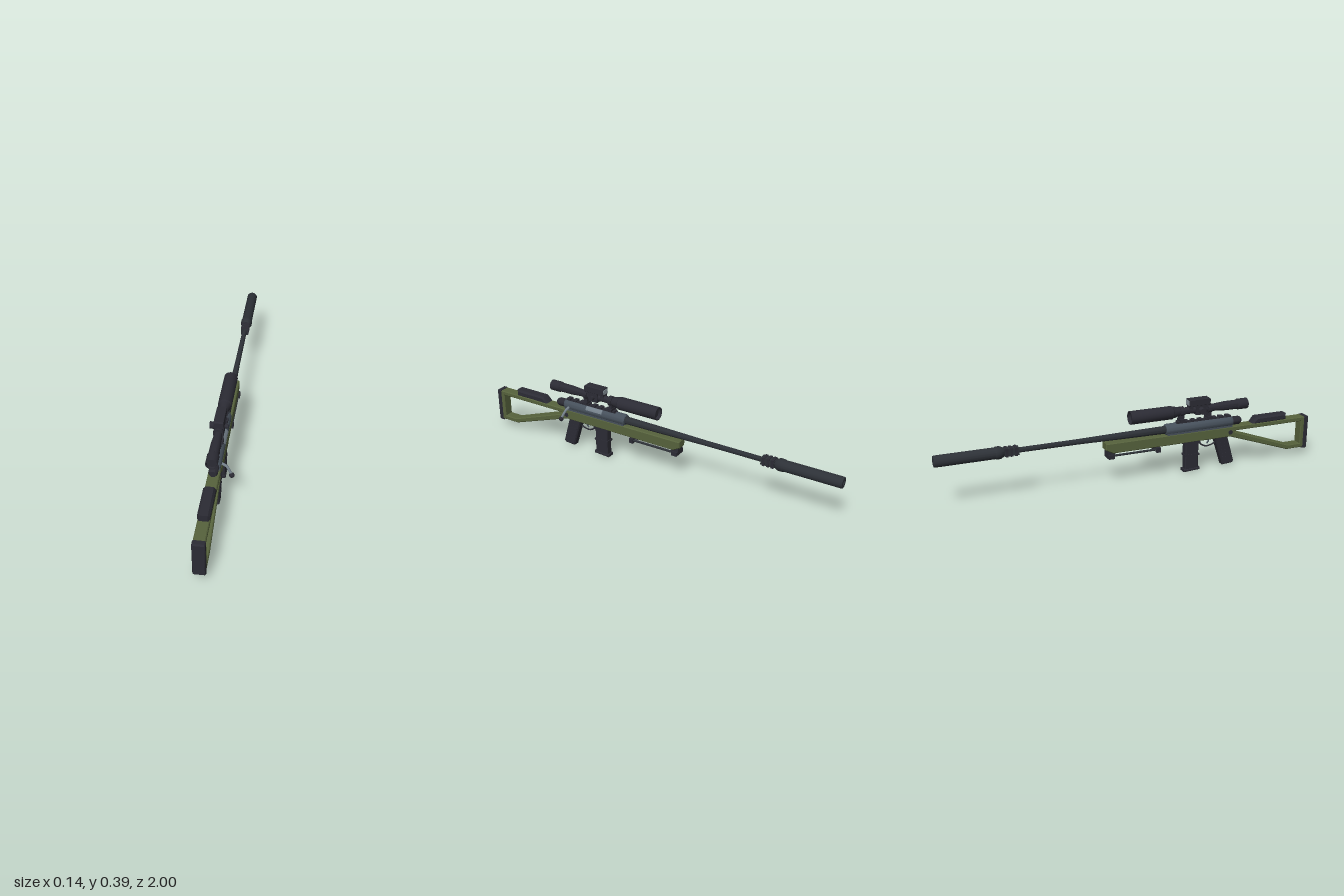
import * as THREE from 'three';
import { toCreasedNormals } from 'three/addons/utils/BufferGeometryUtils.js';

const CX = -0.022; // centre plane of the body
const BORE = 0.24, SIGHT = 0.327;

export function createModel() {
  const model = new THREE.Group();
  const paint = (name, color) => {
    const m = new THREE.MeshStandardMaterial({ color });
    m.name = name;
    return m;
  };
  const olive = paint('olive', 0x56623c);
  const black = paint('black', 0x2b2b34);
  const gunmetal = paint('gunmetal', 0x2d3137);
  const steel = paint('blued steel', 0x46505b);
  const bright = paint('bright steel', 0x74808a);
  const glass = paint('glass', 0x87939a);

  const add = (name, geo, mat, x = 0, y = 0, z = 0) => {
    const mesh = new THREE.Mesh(toCreasedNormals(geo, 0.6), mat);
    mesh.name = name;
    mesh.position.set(x, y, z);
    model.add(mesh);
    return mesh;
  };
  const box = (name, mat, w, y0, y1, z0, z1, x = CX) =>
    add(name, new THREE.BoxGeometry(w, y1 - y0, z1 - z0), mat, x, (y0 + y1) / 2, (z0 + z1) / 2);
  // Turned part along z: [radius, z] pairs with z rising
  const turned = (name, mat, y, pts, seg = 14, x = CX) =>
    add(name, new THREE.LatheGeometry(pts.map(p => new THREE.Vector2(...p)), seg).rotateX(Math.PI / 2), mat, x, y);
  const crossBar = (name, mat, r, x0, x1, y, z, seg = 14) =>
    add(name, new THREE.CylinderGeometry(r, r, x1 - x0, seg).rotateZ(Math.PI / 2), mat, (x0 + x1) / 2, y, z);
  // Side profile of [z, y] pairs, extruded across x with a small bevel
  const profile = (name, mat, w, pts, bevel = 0.004, hole = null, x = CX) => {
    const v = a => a.map(p => new THREE.Vector2(...p));
    const shape = new THREE.Shape(v(pts));
    if (hole) shape.holes.push(new THREE.Path(v(hole)));
    const geo = new THREE.ExtrudeGeometry(shape, {
      depth: w - 2 * bevel, bevelEnabled: bevel > 0, bevelSize: bevel,
      bevelThickness: bevel, bevelOffset: -bevel, bevelSegments: 1,
    });
    geo.translate(0, 0, bevel - w / 2).rotateY(-Math.PI / 2);
    return add(name, geo, mat, x);
  };
  const tube = (name, mat, r, pts, seg = 16) =>
    add(name, new THREE.TubeGeometry(new THREE.CatmullRomCurve3(pts.map(p => new THREE.Vector3(...p)), false, 'catmullrom', 0.2), seg, r, 8), mat);

  // Stock with an open frame at the rear
  profile('stock', olive, 0.054, [
    [0.98, 0.042], [0.98, 0.216], [-0.168, 0.216], [-0.168, 0.182], [-0.13, 0.162],
    [0.525, 0.162], [0.875, 0.042],
  ], 0.004, [[0.955, 0.066], [0.882, 0.066], [0.55, 0.184], [0.55, 0.192], [0.955, 0.192]]);
  profile('buttPad', black, 0.058, [[1, 0.042], [1, 0.212], [0.994, 0.218], [0.972, 0.218], [0.972, 0.036], [0.994, 0.036]]);
  profile('cheekRest', black, 0.056, [[0.86, 0.212], [0.86, 0.248], [0.68, 0.248], [0.652, 0.212]], 0.009);

  // Receiver, bolt and barrel
  turned('receiver', steel, BORE, [[0, 0.16], [0.026, 0.16], [0.03, 0.168], [0.03, 0.53], [0.026, 0.54], [0, 0.54]], 12);
  box('receiverBed', steel, 0.05, 0.21, 0.238, 0.165, 0.535);
  turned('boltShroud', black, BORE, [[0, 0.53], [0.022, 0.53], [0.022, 0.58], [0.016, 0.592], [0, 0.592]], 12);
  const port = add('ejectionPort', new THREE.CylinderGeometry(0.0315, 0.0315, 0.1, 4, 1, true, 0.6, 0.75).rotateX(Math.PI / 2), bright, CX, BORE, 0.345);
  port.rotation.z = 1.25;
  tube('boltHandle', bright, 0.0065, [[CX, 0.262, 0.505], [0.002, 0.236, 0.505], [0.03, 0.223, 0.51], [0.055, 0.184, 0.522]]);
  add('boltKnob', new THREE.SphereGeometry(0.013, 10, 8), black, 0.054, 0.183, 0.522);
  turned('barrel', gunmetal, BORE, [[0.0125, -0.61], [0.0135, -0.3], [0.018, -0.02], [0.02, 0.165]]);

  // Muzzle brake and suppressor
  box('muzzleBrake', gunmetal, 0.038, 0.222, 0.258, -0.67, -0.6);
  for (const z of [-0.615, -0.638, -0.66]) box('brakeRib', black, 0.043, 0.219, 0.261, z - 0.006, z + 0.006);
  turned('suppressor', gunmetal, BORE, [
    [0, -0.995], [0.012, -0.995], [0.012, -1], [0.026, -1], [0.028, -0.995], [0.028, -0.715],
    [0.031, -0.71], [0.031, -0.69], [0.022, -0.672], [0, -0.672],
  ], 16);

  // Accessory rail with teeth
  box('railBase', black, 0.026, 0.262, 0.27, 0.22, 0.53);
  for (let i = 0; i < 8; i++) box('railTooth', black, 0.032, 0.268, 0.277, 0.225 + i * 0.04, 0.248 + i * 0.04);

  // Scope
  turned('scopeBody', black, SIGHT, [
    [0, -0.015], [0.029, -0.015], [0.03, -0.032], [0.034, -0.032], [0.034, 0.195], [0.03, 0.2], [0.028, 0.215],
    [0.018, 0.25], [0.018, 0.42], [0.024, 0.5], [0.024, 0.565], [0.028, 0.57], [0.028, 0.625],
    [0.023, 0.625], [0.022, 0.615], [0, 0.615],
  ], 16);
  for (const z of [0.25, 0.405]) {
    turned('scopeRing', black, SIGHT, [[0.017, z - 0.011], [0.025, z - 0.011], [0.025, z + 0.011], [0.017, z + 0.011]]);
    box('scopeMount', black, 0.03, 0.272, 0.315, z - 0.01, z + 0.01);
    box('mountClamp', black, 0.046, 0.272, 0.288, z - 0.013, z + 0.013);
  }
  box('turretBlock', black, 0.044, 0.303, 0.352, 0.325, 0.38);
  crossBar('windageKnob', black, 0.017, -0.07, -0.04, SIGHT, 0.352);
  crossBar('focusKnob', black, 0.011, -0.005, 0.016, SIGHT, 0.352);

  // Small sight on top of the scope
  profile('topSight', black, 0.046, [[0.287, 0.352], [0.405, 0.352], [0.405, 0.38], [0.4, 0.386], [0.287, 0.386]], 0.002);
  box('topSightLens', glass, 0.036, 0.357, 0.381, 0.284, 0.288);
  for (const z of [0.3, 0.395]) box('topSightFoot', black, 0.034, 0.336, 0.354, z - 0.01, z + 0.01);

  // Grip with ribs
  profile('grip', black, 0.042, [[0.435, 0.17], [0.51, 0.17], [0.553, 0.022], [0.545, 0.012], [0.487, 0.008]], 0.006);
  for (let i = 0; i < 5; i++) {
    const y = 0.05 + i * 0.02, z = 0.527 - (y - 0.05) * 0.3;
    box('gripRib', black, 0.045, y - 0.004, y + 0.004, z - 0.045, z - 0.005);
  }

  // Trigger and guard
  tube('triggerGuard', black, 0.004, [[CX, 0.165, 0.352], [CX, 0.135, 0.365], [CX, 0.12, 0.395], [CX, 0.124, 0.425], [CX, 0.136, 0.452]]);
  tube('trigger', steel, 0.004, [[CX, 0.165, 0.405], [CX, 0.148, 0.41], [CX, 0.134, 0.4]], 8);

  // Magazine
  box('magazineWell', black, 0.05, 0.148, 0.168, 0.262, 0.352);
  profile('magazine', black, 0.04, [[0.27, 0.165], [0.344, 0.165], [0.344, 0.006], [0.27, 0.006]], 0.004);
  box('magazineBand', black, 0.044, 0.084, 0.094, 0.266, 0.348);
  profile('magazineBase', black, 0.046, [[0.262, 0], [0.352, 0.005], [0.352, 0.018], [0.262, 0.014]], 0.003);

  // Folded bipod
  box('bipodMount', black, 0.046, 0.145, 0.178, -0.158, -0.118);
  box('bipodHinge', black, 0.066, 0.135, 0.157, -0.156, -0.124);
  for (const side of [-1, 1]) {
    const x = CX + side * 0.023;
    turned('bipodLeg', gunmetal, 0.15, [[0, -0.14], [0.006, -0.14], [0.006, 0.12], [0, 0.12]], 8, x);
    box('bipodFoot', black, 0.018, 0.134, 0.159, 0.102, 0.126, x);
  }

  // Pivot pin near the grip
  crossBar('stockPin', black, 0.012, CX - 0.03, CX + 0.03, 0.186, 0.524);

  return model;
}
